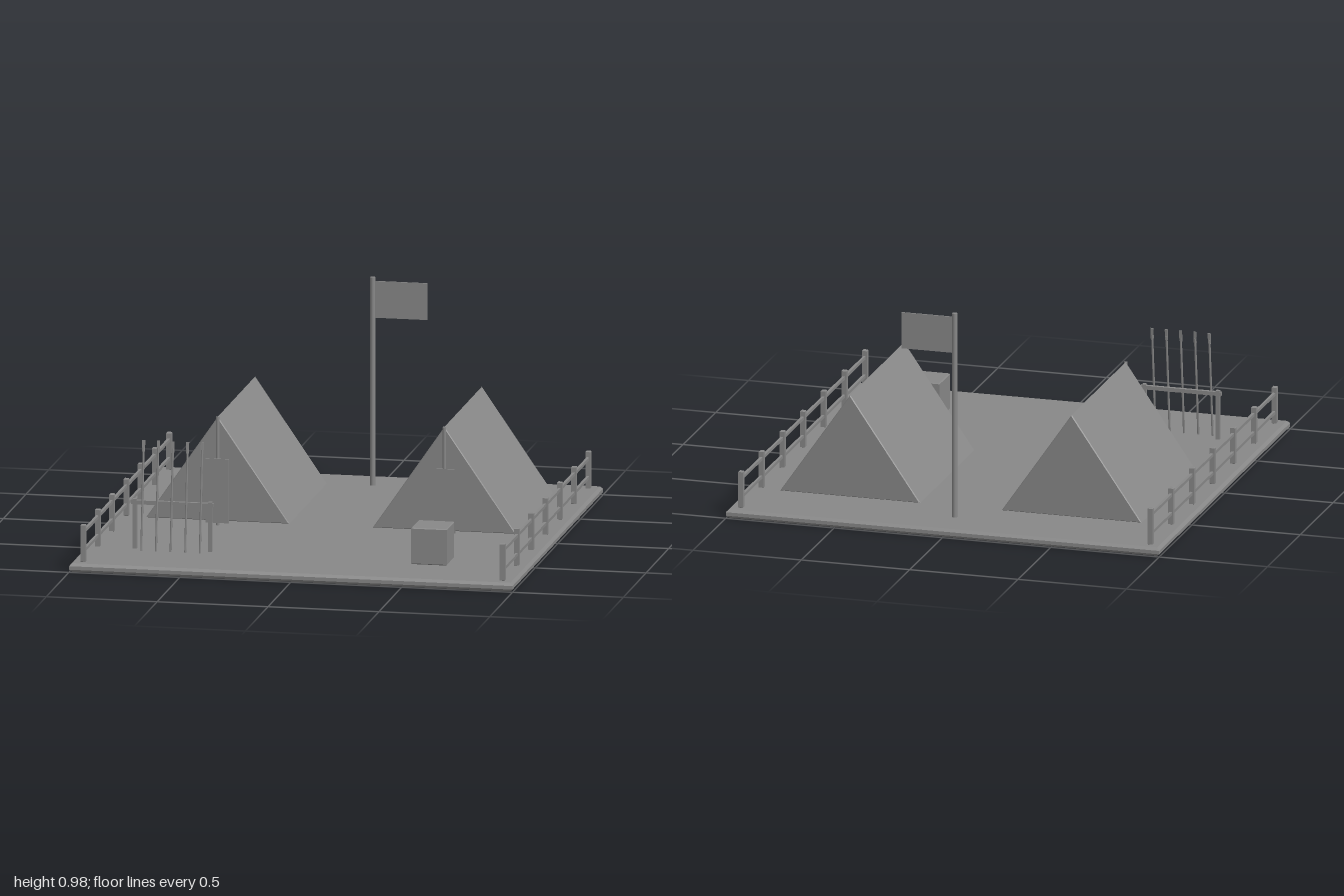
import * as THREE from 'three';

export function createModel() {
  const model = new THREE.Group();
  model.name = 'camp';
  const grey = new THREE.MeshStandardMaterial({ color: 0x888888 });
  grey.name = 'plain grey';

  const add = (parent, name, geometry, x, y, z) => {
    const mesh = new THREE.Mesh(geometry, grey);
    mesh.name = name;
    mesh.position.set(x, y, z);
    parent.add(mesh);
    return mesh;
  };
  const box = (parent, name, w, h, d, x, y, z) =>
    add(parent, name, new THREE.BoxGeometry(w, h, d), x, y, z);
  const group = (name, x = 0, y = 0, z = 0) => {
    const g = new THREE.Group();
    g.name = name;
    g.position.set(x, y, z);
    model.add(g);
    return g;
  };
  // Chamfered prism whose widest outline is the given polygon, centred in z
  const prism = (points, depth, bevel) => {
    const shape = new THREE.Shape(points.map(([x, y]) => new THREE.Vector2(x, y)));
    const geometry = new THREE.ExtrudeGeometry(shape, {
      depth: depth - 2 * bevel, bevelEnabled: true, bevelThickness: bevel,
      bevelSize: bevel, bevelOffset: -bevel, bevelSegments: 1,
    });
    return geometry.translate(0, 0, bevel - depth / 2);
  };
  const block = (w, h, d, bevel) => {
    const a = w / 2, b = d / 2;
    return prism([[-a, -b], [a, -b], [a, b], [-a, b]], h, bevel).rotateX(-Math.PI / 2);
  };

  // Ground slab with chamfered rim
  add(model, 'ground', block(2, 0.04, 2, 0.012), 0, 0.02, 0);

  for (const side of [-1, 1]) {
    // Ridge tent with front pole and door flap
    const tent = group(side < 0 ? 'rightTent' : 'leftTent', side * 0.511);
    add(tent, 'tentCanvas', prism([[-0.323, 0.06], [0.323, 0.06], [0, 0.53]], 0.832, 0.005), 0, 0, -0.305);
    add(tent, 'tentPole', new THREE.CylinderGeometry(0.008, 0.008, 0.49, 8), 0, 0.285, 0.11);
    box(tent, 'doorFlap', 0.104, 0.29, 0.006, 0, 0.197, 0.119);

    // Side fence
    const fence = group(side < 0 ? 'rightFence' : 'leftFence', side * 0.945);
    for (let i = 0; i < 7; i++) {
      add(fence, 'fencePost', block(0.023, 0.17, 0.023, 0.003), 0, 0.123, -0.945 + i * 0.315);
    }
    for (const y of [0.09, 0.175]) box(fence, 'fenceRail', 0.012, 0.014, 1.89, 0, y, 0);
  }

  // Flag on its pole
  const flag = group('flagpole', 0, 0, -0.812);
  add(flag, 'pole', new THREE.CylinderGeometry(0.012, 0.012, 0.945, 10), 0, 0.51, 0);
  box(flag, 'flag', 0.236, 0.166, 0.006, 0.127, 0.882, 0);

  // Supply crate
  add(model, 'crate', block(0.162, 0.165, 0.162, 0.004), 0.566, 0.125, 0.64);

  // Spear rack
  const rack = group('spearRack', -0.606, 0, 0.64);
  for (const x of [-0.17, 0.17]) box(rack, 'rackPost', 0.018, 0.23, 0.018, x, 0.15, 0);
  box(rack, 'rackBar', 0.37, 0.018, 0.016, 0, 0.25, 0);

  // Five spears leaning back on the bar
  for (let i = -2; i <= 2; i++) {
    const spear = group('spear', -0.606 + i * 0.066, 0.04, 0.683);
    spear.rotation.x = -0.11;
    add(spear, 'spearShaft', new THREE.CylinderGeometry(0.005, 0.005, 0.46, 6), 0, 0.23, 0);
    box(spear, 'spearHead', 0.013, 0.05, 0.005, 0, 0.467, 0);
  }
  return model;
}
